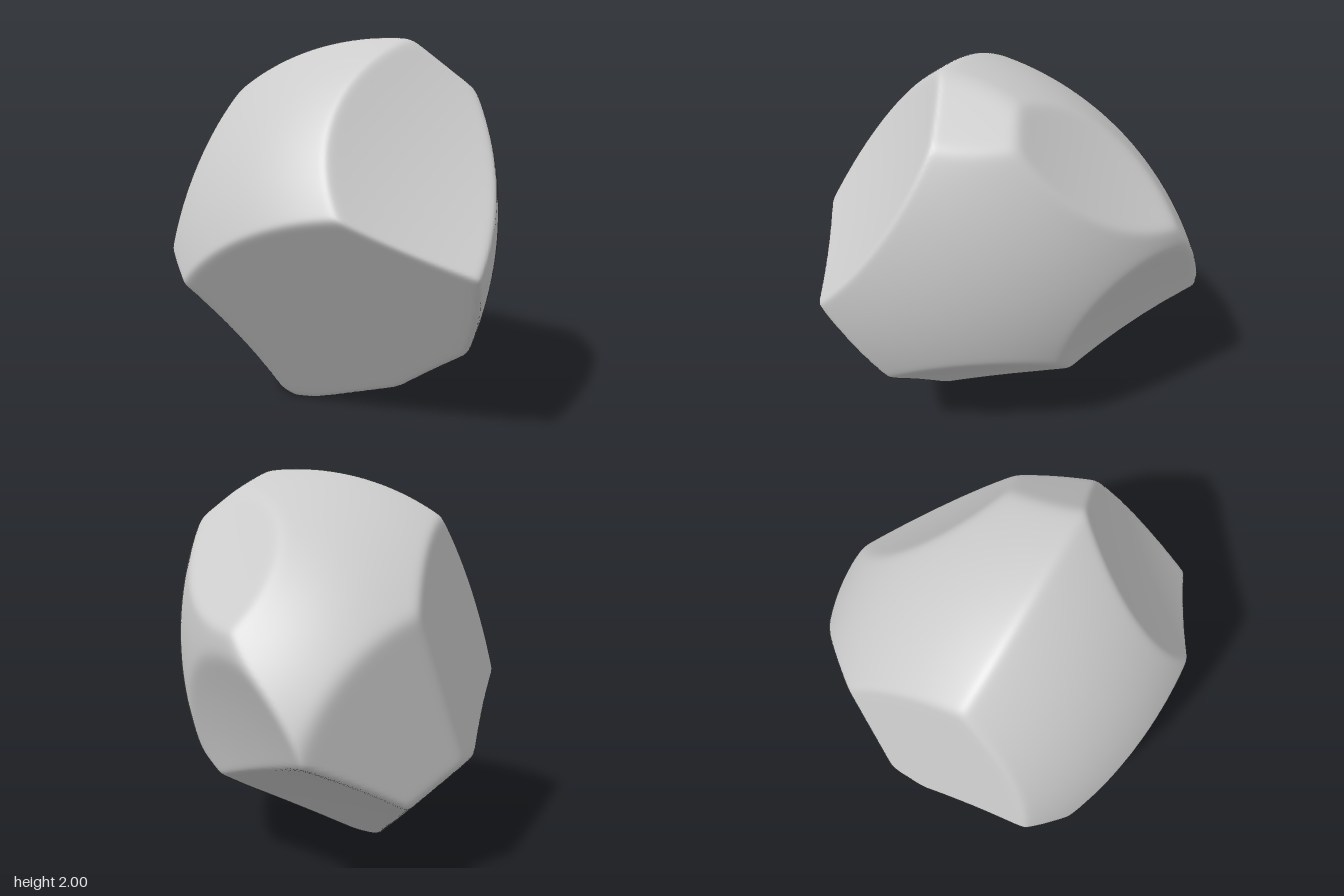
import * as THREE from 'three';
import { mergeVertices } from 'three/addons/utils/BufferGeometryUtils.js';

const vec = (a) => new THREE.Vector3(...a);
const unit = (a) => vec(a).normalize();

// Broad, rounded faces: centre and radius of the sphere each belongs to
const domes = [
  { c: [-0.14, 0.615, -0.69], r: 1.6 },  // front
  { c: [0.36, 0.35, 0.3], r: 1.69 },     // top and back left
  { c: [-0.57, 1.1, 0.82], r: 1.71 },    // back right
];

// Slightly hollow chips: deepest point, outward normal and radius of the hollow
const scoops = [
  { p: [-0.49, 0.56, 0.55], n: [-0.52, -0.575, 0.627], r: 3.5 },      // small front left underside
  { p: [0.577, 1.434, 0.14], n: [0.778, 0.525, 0.344], r: 4 },        // right
  { p: [-0.098, 1.484, -0.661], n: [-0.076, 0.65, -0.757], r: 4.5 },  // upper back
  { p: [-0.301, 0.756, -0.733], n: [0.07, -0.32, -0.945], r: 4 },     // lower back
  { p: [0.358, 0.406, -0.261], n: [0.42, -0.71, -0.564], r: 6 },      // back right underside
  { p: [-0.501, 0.353, -0.254], n: [-0.164, -0.85, -0.5], r: 6 },     // back left underside
];

// Flat chips: outward normal and distance from the origin
const flats = [
  { n: [0.45, -0.55, 0.704], d: 0.047 },     // large front underside
  { n: [-0.893, 0.212, 0.396], d: 1.044 },   // front left
  { n: [-0.988, 0, -0.15], d: 0.972 },       // left
  { n: [0.38, 0.786, -0.487], d: 1.727 },    // small top
  { n: [0.13, -0.886, -0.444], d: -0.103 },  // bottom
  { n: [-0.645, -0.715, 0.268], d: 0.25 },   // left underside
  { n: [0, -1, 0], d: 0 },                   // resting point
];

// Distance along a ray to a sphere: side 1 meets it from inside, -1 from outside
function sphereHit(origin, centre, r, side) {
  const off = origin.clone().sub(centre);
  const k = off.lengthSq() - r * r;
  return (dir) => {
    const b = off.dot(dir);
    const disc = b * b - k;
    if (disc < 0 || (side < 0 && b > 0)) return Infinity;
    return -b + side * Math.sqrt(disc);
  };
}

function planeHit(origin, normal, d) {
  const gap = d - normal.dot(origin);
  return (dir) => {
    const slope = normal.dot(dir);
    return slope > 1e-4 ? gap / slope : Infinity;
  };
}

export function createModel() {
  const origin = new THREE.Vector3(0, 1, 0);
  const softness = 95; // higher gives crisper ridges

  const hits = [
    ...domes.map(({ c, r }) => sphereHit(origin, vec(c), r, 1)),
    ...scoops.map(({ p, n, r }) => sphereHit(origin, vec(p).addScaledVector(unit(n), r), r, -1)),
    ...flats.map(({ n, d }) => planeHit(origin, unit(n), d)),
  ];

  let geo = new THREE.IcosahedronGeometry(1, 70);
  geo.deleteAttribute('normal');
  geo.deleteAttribute('uv');
  geo = mergeVertices(geo, 1e-5);

  // Push every vertex out to the nearest face, blending softly at ridges
  const pos = geo.attributes.position;
  const dir = new THREE.Vector3();
  for (let i = 0; i < pos.count; i++) {
    dir.fromBufferAttribute(pos, i).normalize();
    const all = hits.map((hit) => hit(dir));
    const near = Math.min(...all);
    const sum = all.reduce((s, t) => s + Math.pow(near / t, softness), 0);
    const t = near * Math.pow(sum, -1 / softness);
    pos.setXYZ(i, origin.x + dir.x * t, origin.y + dir.y * t, origin.z + dir.z * t);
  }
  geo.computeVertexNormals();

  const rock = new THREE.Mesh(geo, new THREE.MeshStandardMaterial({ color: 0xcccccc }));
  rock.name = 'rock';
  const group = new THREE.Group();
  group.name = 'chippedRock';
  group.add(rock);
  return group;
}
